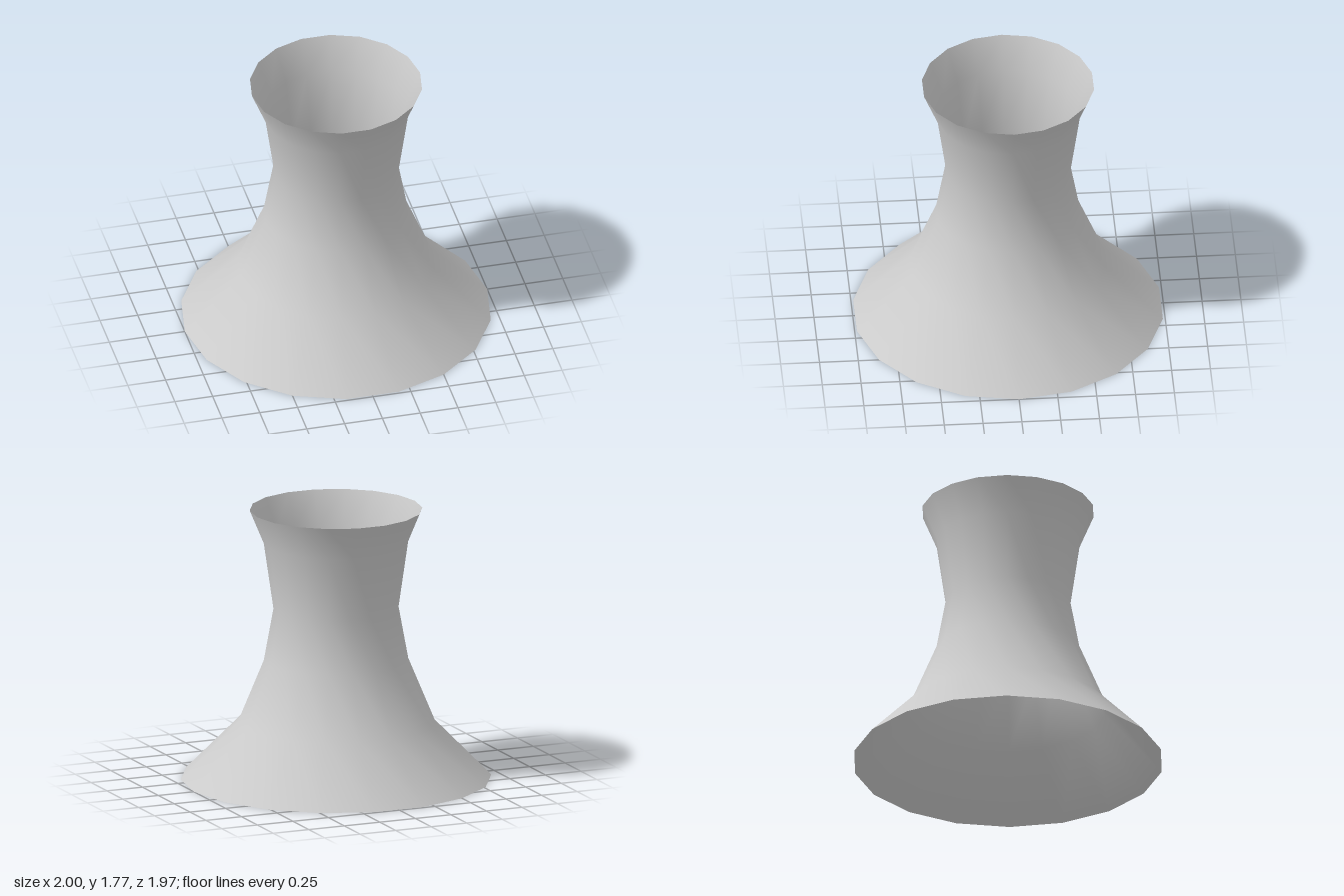
import * as THREE from 'three';

export function createModel() {
  const group = new THREE.Group();
  group.name = 'flaredTube';

  // Open waisted wall: wide foot, narrow neck, flared rim
  const profile = [
    [1.0, 0], [0.635, 0.37], [0.465, 0.78],
    [0.403, 1.12], [0.465, 1.55], [0.556, 1.77],
  ].map(([r, y]) => new THREE.Vector2(r, y));

  // 18 sides, with a corner on the x axis
  const geometry = new THREE.LatheGeometry(profile, 18, Math.PI / 2);
  const material = new THREE.MeshStandardMaterial({ color: 0xcccccc, side: THREE.DoubleSide });
  const wall = new THREE.Mesh(geometry, material);
  wall.name = 'flaredWall';
  group.add(wall);

  return group;
}
